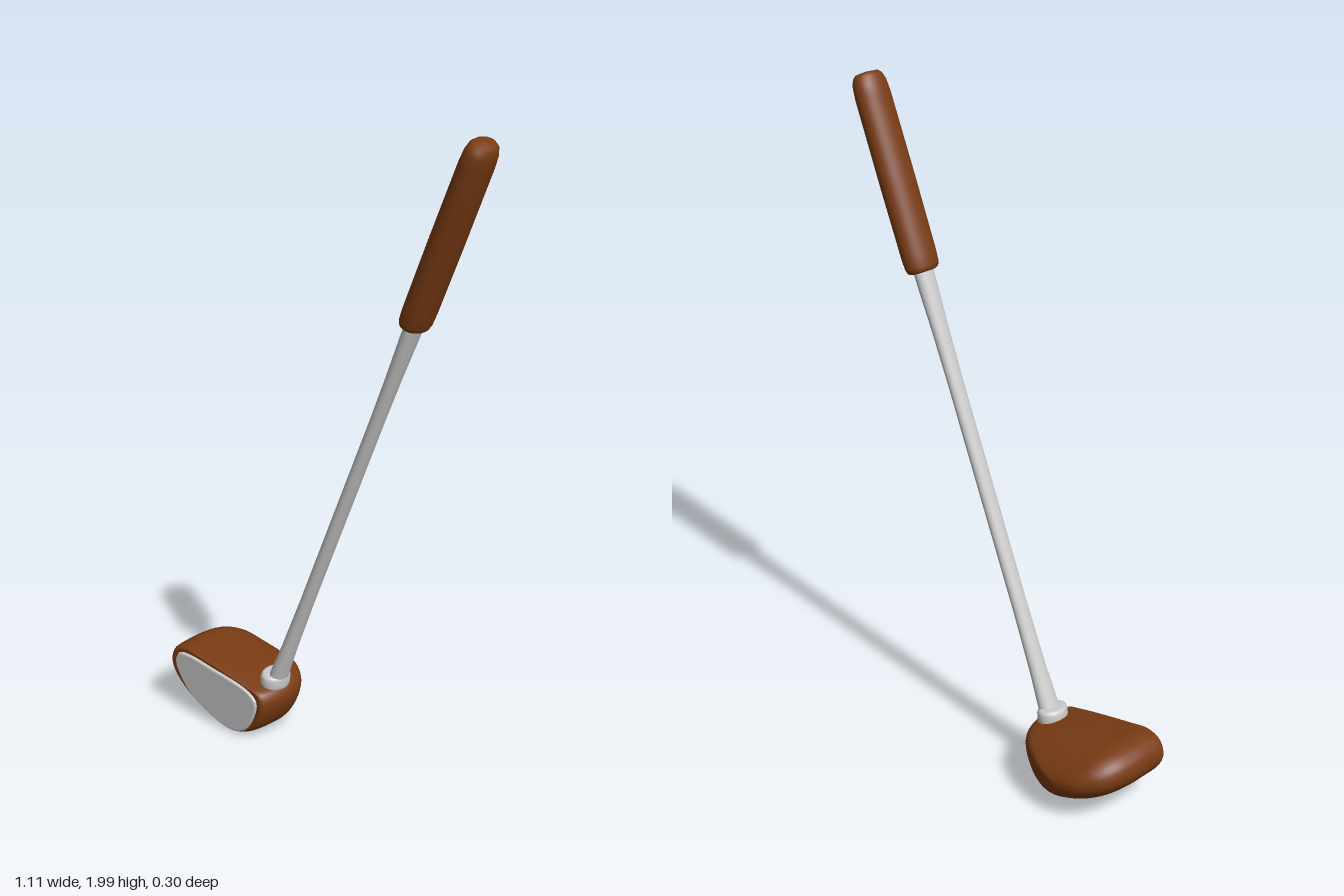
import * as THREE from 'three';

const wood = new THREE.MeshStandardMaterial({ color: 0x7a3c14 });
const steel = new THREE.MeshStandardMaterial({ color: 0xcccccc });
const V2 = (x, y) => new THREE.Vector2(x, y);

function addMesh(parent, name, geometry, material) {
  const mesh = new THREE.Mesh(geometry, material);
  mesh.name = name;
  parent.add(mesh);
  return mesh;
}

// Smooth closed outline through a few [x, y] points
function outline(points, count) {
  const curve = new THREE.CatmullRomCurve3(points.map(([x, y]) => new THREE.Vector3(x, y, 0)), true);
  return curve.getSpacedPoints(count).slice(0, count);
}

// Club head: one outline, fitted to a box [xMin, xMax, yMin, yMax] at each depth z
function headGeometry() {
  const N = 64, ROWS = 72;
  const ring = outline([
    [-0.56, 0.16], [-0.547, 0.205], [-0.5, 0.227], [-0.42, 0.218], [-0.22, 0.183], [-0.168, 0.168],
    [-0.157, 0.135], [-0.185, 0.06], [-0.23, 0.02], [-0.29, 0.006], [-0.38, 0.025], [-0.48, 0.07], [-0.54, 0.12],
  ], N);
  const box = new THREE.Box2().setFromPoints(ring);
  const size = box.getSize(V2(0, 0));
  const sections = [
    // z, xMin, xMax, yMin, yMax
    [0.14, -0.36, -0.36, 0.12, 0.12],
    [0.14, -0.53, -0.195, 0.02, 0.212],
    [0.139, -0.548, -0.182, 0.01, 0.222],
    [0.125, -0.557, -0.171, 0.006, 0.226],
    [0.07, -0.56, -0.157, 0.005, 0.228],
    [0.01, -0.558, -0.157, 0.006, 0.226],
    [-0.05, -0.547, -0.185, 0.018, 0.218],
    [-0.1, -0.52, -0.242, 0.045, 0.196],
    [-0.13, -0.482, -0.3, 0.073, 0.17],
    [-0.146, -0.44, -0.352, 0.1, 0.145],
    [-0.15, -0.395, -0.395, 0.122, 0.122],
  ];
  const spanX = new THREE.CatmullRomCurve3(sections.map((s) => new THREE.Vector3(s[1], s[2], s[0])));
  const spanY = new THREE.CatmullRomCurve3(sections.map((s) => new THREE.Vector3(s[3], s[4], s[0])));
  const position = [], index = [];
  for (let r = 0; r <= ROWS; r++) {
    const X = spanX.getPoint(r / ROWS), Y = spanY.getPoint(r / ROWS);
    for (let i = 0; i < N; i++) {
      const u = (ring[i].x - box.min.x) / size.x, v = (ring[i].y - box.min.y) / size.y;
      position.push(X.x + (X.y - X.x) * u, Y.x + (Y.y - Y.x) * v, Math.min(X.z, 0.14));
      if (r === ROWS) continue;
      const a = r * N + i, b = r * N + (i + 1) % N;
      index.push(a, b, a + N, b, b + N, a + N);
    }
  }
  const geometry = new THREE.BufferGeometry();
  geometry.setAttribute('position', new THREE.Float32BufferAttribute(position, 3));
  geometry.setIndex(index);
  geometry.computeVertexNormals();
  return geometry;
}

// Striking plate: thin bevelled slab on the front of the head
function plateGeometry() {
  const shape = new THREE.Shape(outline([
    [-0.523, 0.17], [-0.51, 0.197], [-0.475, 0.203], [-0.39, 0.193], [-0.23, 0.164], [-0.203, 0.14],
    [-0.225, 0.065], [-0.255, 0.03], [-0.3, 0.017], [-0.39, 0.04], [-0.47, 0.085], [-0.51, 0.135],
  ], 56).map((p) => V2(p.x, p.y)).reverse());
  return new THREE.ExtrudeGeometry(shape, {
    depth: 0.012, bevelEnabled: true, bevelThickness: 0.006, bevelSize: 0.006, bevelSegments: 3,
  });
}

export function createModel() {
  const club = new THREE.Group();
  club.name = 'golfClub';

  const head = new THREE.Group();
  head.name = 'head';
  club.add(head);
  addMesh(head, 'headBody', headGeometry(), wood);
  addMesh(head, 'strikingPlate', plateGeometry(), steel).position.z = 0.13;

  // Collar where the shaft enters the head
  const collar = addMesh(club, 'collar', new THREE.LatheGeometry([
    V2(0, -0.03), V2(0.047, -0.03), V2(0.051, -0.02), V2(0.051, 0.005), V2(0.047, 0.014), V2(0.038, 0.018), V2(0, 0.018),
  ], 32), steel);
  collar.position.set(-0.2, 0.196, 0.05);
  collar.rotation.z = -0.08;
  collar.scale.x = 0.78;

  // Shaft and grip share one leaning, slightly flattened axis
  const handle = new THREE.Group();
  handle.name = 'handle';
  handle.position.set(-0.2, 0.17, 0.05);
  handle.rotation.z = -Math.atan2(0.725, 1.815);
  handle.scale.x = 0.72;
  club.add(handle);

  addMesh(handle, 'shaft', new THREE.LatheGeometry([
    V2(0.036, 0), V2(0.034, 0.06), V2(0.029, 0.16), V2(0.026, 0.35), V2(0.026, 1.05),
    V2(0.028, 1.2), V2(0.032, 1.33), V2(0.033, 1.42),
  ], 32), steel);

  addMesh(handle, 'grip', new THREE.LatheGeometry([
    V2(0, 1.376), V2(0.042, 1.376), V2(0.051, 1.381), V2(0.056, 1.394), V2(0.058, 1.43), V2(0.059, 1.65),
    V2(0.058, 1.89), V2(0.055, 1.925), V2(0.048, 1.945), V2(0.036, 1.955), V2(0, 1.958),
  ], 36), wood);

  return club;
}
